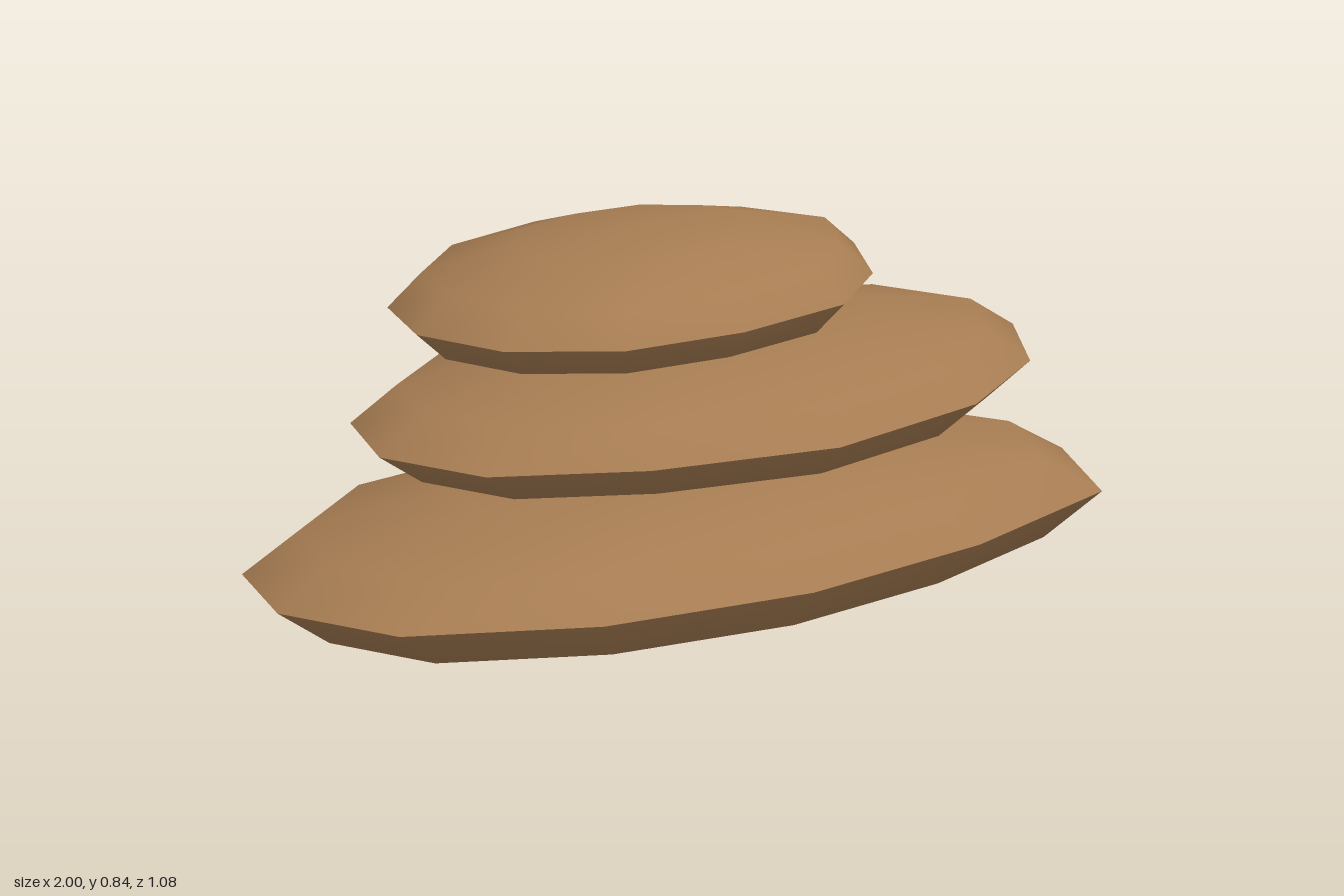
import * as THREE from 'three';

// Each stone: widest height, top, bottom, centre x, and its rim as [x, z] corners from +x round by +z
const STONES = [
  { name: 'bottomStone', y: 0.178, top: 0.34, bottom: 0.005, cx: -0.01,
    rim: [[1, 0], [0.88, 0.3], [0.45, 0.46], [-0.03, 0.535], [-0.52, 0.475], [-0.9, 0.285],
      [-1, 0], [-0.89, -0.27], [-0.55, -0.49], [-0.03, -0.54], [0.47, -0.47], [0.86, -0.28]] },
  { name: 'middleStone', y: 0.465, top: 0.61, bottom: 0.322, cx: 0.07,
    rim: [[0.875, 0], [0.745, 0.235], [0.47, 0.42], [0.06, 0.505], [-0.35, 0.41], [-0.65, 0.245],
      [-0.74, 0], [-0.64, -0.235], [-0.36, -0.41], [0.06, -0.485], [0.45, -0.4], [0.76, -0.235]] },
  { name: 'topStone', y: 0.71, top: 0.845, bottom: 0.58, cx: -0.09,
    rim: [[0.47, 0], [0.37, 0.2], [0.19, 0.345], [-0.095, 0.385], [-0.37, 0.35], [-0.575, 0.205],
      [-0.645, 0], [-0.575, -0.195], [-0.375, -0.34], [-0.1, -0.38], [0.18, -0.33], [0.365, -0.185]] },
];

// Half a stone: rings shrink from the rim to a pole, so the rim stays a sharp edge
function halfStone({ y, cx, rim }, poleY) {
  const n = rim.length, rings = 3, up = poleY > y;
  const pos = [], index = [];
  const tri = (a, b, c) => index.push(...(up ? [a, b, c] : [a, c, b]));
  for (let r = 0; r < rings; r++) {
    const t = (r / rings) * Math.PI / 2, s = Math.cos(t);
    for (const [x, z] of rim) pos.push(cx + (x - cx) * s, y + (poleY - y) * Math.sin(t), z * s);
  }
  pos.push(cx, poleY, 0);
  for (let r = 0; r < rings; r++) {
    for (let i = 0; i < n; i++) {
      const j = (i + 1) % n, a = r * n + i, b = r * n + j;
      if (r === rings - 1) tri(a, rings * n, b);
      else {
        tri(a, a + n, b);
        tri(b, a + n, b + n);
      }
    }
  }
  const geo = new THREE.BufferGeometry();
  geo.setAttribute('position', new THREE.Float32BufferAttribute(pos, 3));
  geo.setIndex(index);
  geo.computeVertexNormals();
  return geo;
}

export function createModel() {
  const model = new THREE.Group();
  model.name = 'stackedStones';
  const brown = new THREE.MeshStandardMaterial({ color: 0xa67c52 });
  brown.name = 'warmBrown';

  for (const stone of STONES) {
    const group = new THREE.Group();
    group.name = stone.name;
    for (const side of ['top', 'bottom']) {
      const mesh = new THREE.Mesh(halfStone(stone, stone[side]), brown);
      mesh.name = side + 'Half';
      group.add(mesh);
    }
    model.add(group);
  }
  return model;
}
